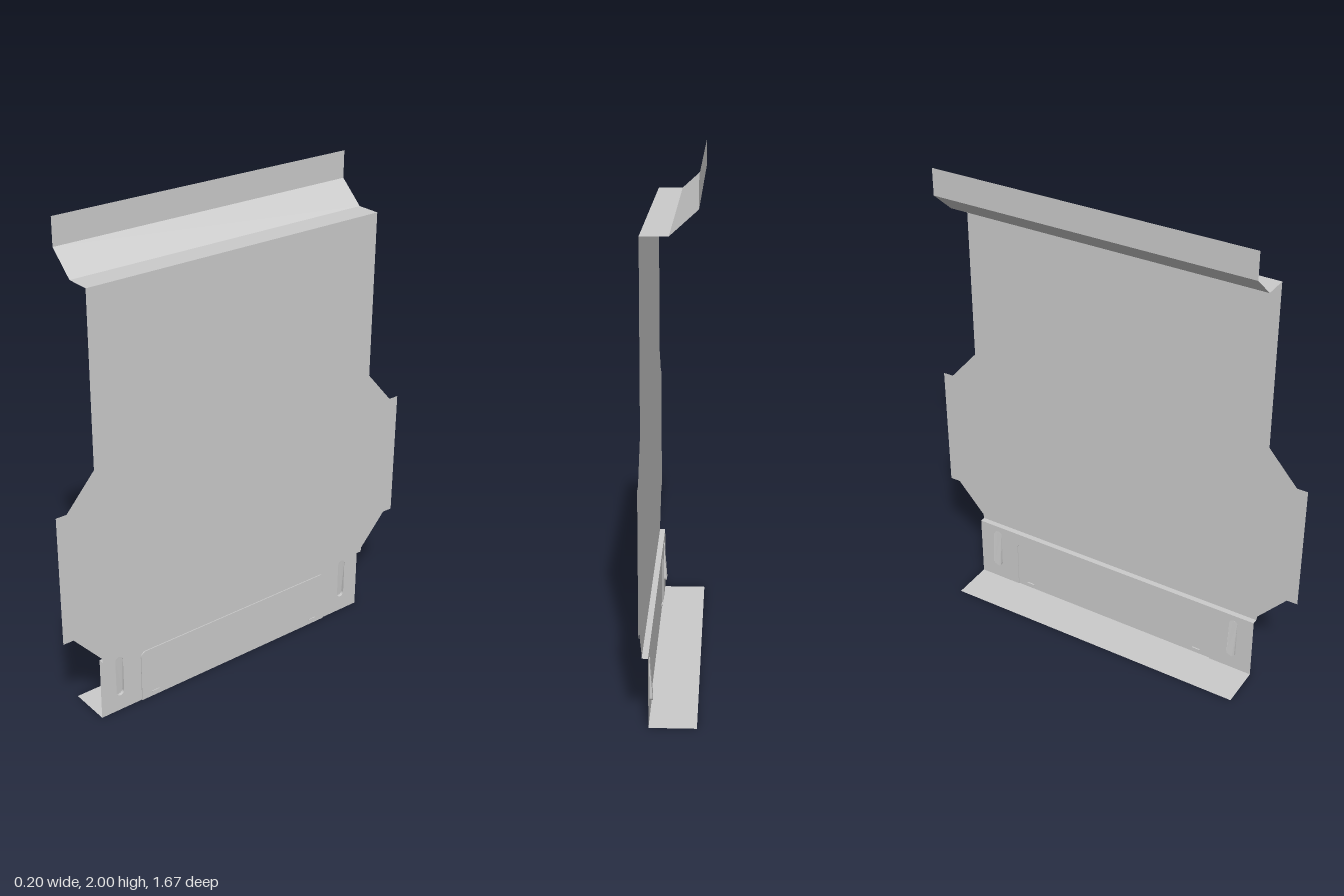
import * as THREE from 'three';
import { mergeGeometries } from 'three/addons/utils/BufferGeometryUtils.js';

const mat = new THREE.MeshStandardMaterial({ color: 0xcccccc, side: THREE.DoubleSide, flatShading: true });
const W = 0.667;      // half length of the folded sheet along z
const PLATE_X = 0.1;  // main plate
const FOOT_X = 0.077; // lower mounting strip

function add(group, name, geometry) {
  const mesh = new THREE.Mesh(geometry, mat);
  mesh.name = name;
  group.add(mesh);
}

// Flat sheet between two profile points (x, y), running along z
function fold([x0, y0], [x1, y1]) {
  const g = new THREE.PlaneGeometry(1, 2 * W);
  const p = g.attributes.position;
  for (let i = 0; i < p.count; i++) {
    const t = p.getX(i) + 0.5;
    p.setXYZ(i, x0 + (x1 - x0) * t, y0 + (y1 - y0) * t, p.getY(i));
  }
  g.computeVertexNormals();
  return g;
}

// Shape drawn in (z, y), stood up at the given x
function standing(geometry, x) {
  return geometry.rotateY(-Math.PI / 2).translate(x, 0, 0);
}

// Pressed area: floor pushed towards -x by depth(y), with walls round its outline
function pressed(shape, depth, x) {
  const floor = new THREE.ShapeGeometry(shape, 8);
  const fp = floor.attributes.position;
  for (let i = 0; i < fp.count; i++) fp.setZ(i, depth(fp.getY(i)));
  const pts = shape.getPoints(8);
  const pos = [];
  pts.forEach((a, i) => {
    const b = pts[(i + 1) % pts.length];
    const da = depth(a.y), db = depth(b.y);
    pos.push(a.x, a.y, 0, b.x, b.y, 0, b.x, b.y, db, a.x, a.y, 0, b.x, b.y, db, a.x, a.y, da);
  });
  const walls = new THREE.BufferGeometry();
  walls.setAttribute('position', new THREE.Float32BufferAttribute(pos, 3));
  const flat = floor.toNonIndexed();
  flat.deleteAttribute('uv');
  flat.deleteAttribute('normal');
  const g = standing(mergeGeometries([flat, walls]), x);
  g.computeVertexNormals();
  return g;
}

function slotShape(z, y0, y1, r) {
  const s = new THREE.Shape();
  s.absarc(z, y0 + r, r, Math.PI, 2 * Math.PI, false);
  s.absarc(z, y1 - r, r, 0, Math.PI, false);
  return s;
}

export function createModel() {
  const model = new THREE.Group();
  model.name = 'foldedPanel';

  // Main plate with side wings
  const half = [[W, 1.8], [W, 1.11], [0.79, 0.97], [0.835, 0.97], [0.835, 0.43], [0.79, 0.43], [0.67, 0.295], [W, 0.275]];
  const outline = [...half, ...half.map(([z, y]) => [-z, y]).reverse()].map(([z, y]) => new THREE.Vector2(z, y));
  add(model, 'mainPlate', standing(new THREE.ShapeGeometry(new THREE.Shape(outline)), PLATE_X));

  // Top folds: shelf, slope and upright lip
  const top = [[PLATE_X, 1.8], [0, 1.8], [-0.1, 1.89], [-0.1, 2]];
  ['topShelf', 'topSlope', 'topLip'].forEach((name, i) => add(model, name, fold(top[i], top[i + 1])));

  // Small step to the mounting strip and the bottom flange
  add(model, 'step', fold([PLATE_X, 0.275], [FOOT_X, 0.275]));
  add(model, 'bottomFlange', fold([FOOT_X, 0], [-0.1, 0]));

  // Raised panel with rounded upper corners, reaching the bottom fold
  const raised = new THREE.Shape();
  const w = 0.477, h = 0.227, r = 0.025;
  raised.moveTo(-w, 0).lineTo(w, 0).lineTo(w, h - r);
  raised.absarc(w - r, h - r, r, 0, Math.PI / 2, false);
  raised.absarc(-w + r, h - r, r, Math.PI / 2, Math.PI, false);
  raised.closePath();

  // Mounting strip, open where the pressed areas sit
  const strip = new THREE.Shape();
  strip.moveTo(-W, 0).lineTo(-w, 0).lineTo(-w, h - r);
  strip.absarc(-w + r, h - r, r, Math.PI, Math.PI / 2, true);
  strip.absarc(w - r, h - r, r, Math.PI / 2, 0, true);
  strip.lineTo(w, 0).lineTo(W, 0).lineTo(W, 0.275).lineTo(-W, 0.275).closePath();
  const slots = [-0.578, 0.578].map((z) => slotShape(z, 0.068, 0.25, 0.018));
  strip.holes.push(...slots);
  add(model, 'mountingStrip', standing(new THREE.ShapeGeometry(strip, 8), FOOT_X));
  add(model, 'raisedPanel', pressed(raised, () => -0.004, FOOT_X));

  // Grooves, deepest at their lower end
  const ramp = (y) => 0.012 * Math.min(1, (0.25 - y) / 0.15);
  slots.forEach((s) => add(model, 'groove', pressed(s, ramp, FOOT_X)));

  // Small tabs near the bottom fold
  for (const z of [-0.413, 0.413]) {
    add(model, 'tab', new THREE.BoxGeometry(0.008, 0.006, 0.035).translate(FOOT_X + 0.003, 0.022, z));
  }
  return model;
}
